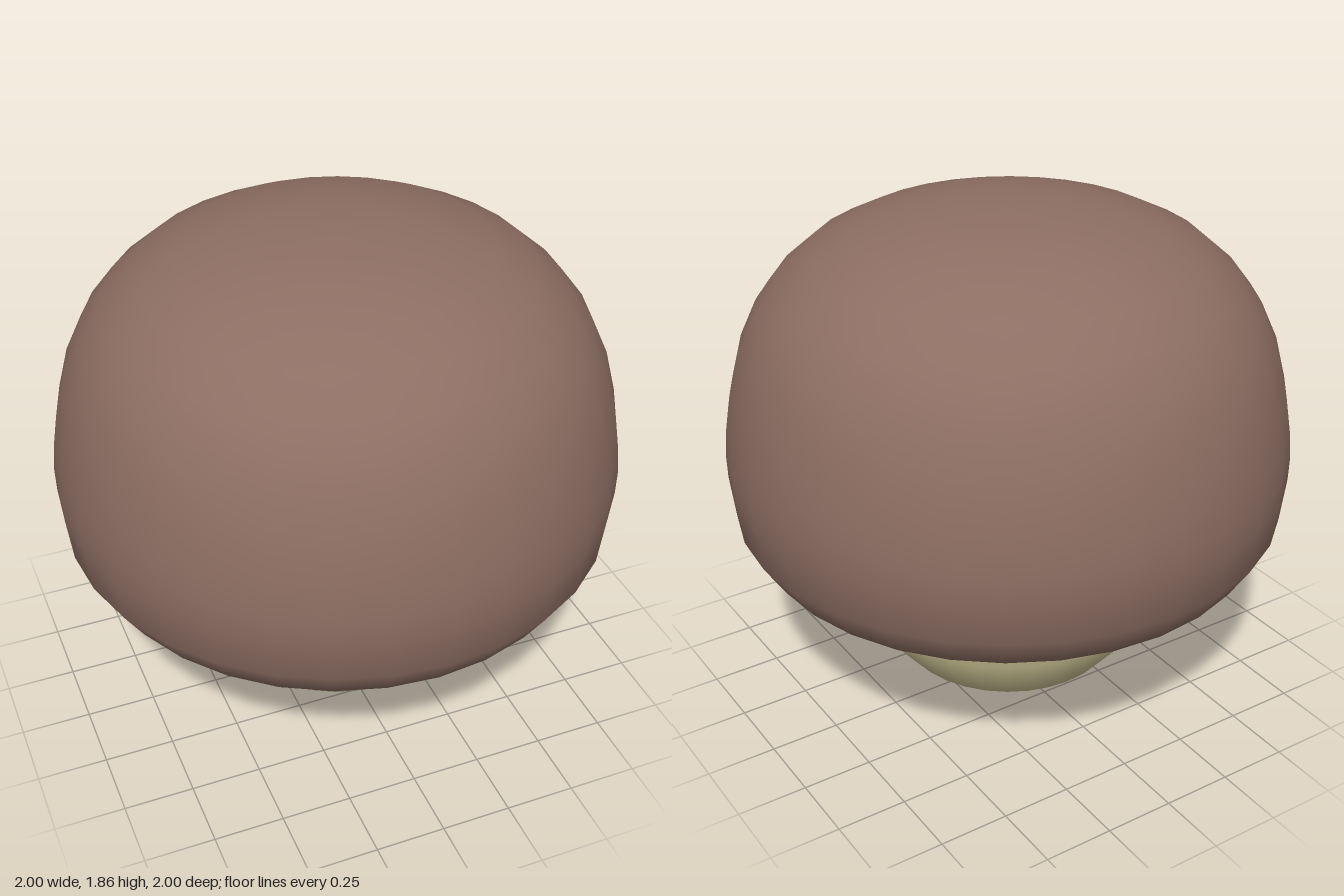
import * as THREE from 'three';

// Smooth surface of revolution from [radius, height] points, listed bottom to top
function turned(name, points, color) {
  const profile = points.map(([r, y]) => new THREE.Vector2(r, y));
  const mesh = new THREE.Mesh(
    new THREE.LatheGeometry(profile, 32),
    new THREE.MeshStandardMaterial({ color })
  );
  mesh.name = name;
  return mesh;
}

export function createModel() {
  const group = new THREE.Group();
  group.name = 'mushroom';

  // Domed cap with a rounded rim and a nearly flat underside
  group.add(turned('cap', [
    [0, 0.565], [0.4, 0.565], [0.56, 0.566], [0.73, 0.577], [0.905, 0.63],
    [0.98, 0.75], [0.998, 0.91], [1, 1], [0.99, 1.1], [0.97, 1.22],
    [0.93, 1.37], [0.87, 1.5], [0.79, 1.605], [0.68, 1.7], [0.54, 1.77],
    [0.37, 1.82], [0.2, 1.848], [0, 1.857],
  ], 0x8d6e63));

  // Bowl-shaped stem, its top tucked just inside the cap
  group.add(turned('stem', [
    [0, 0], [0.16, 0.025], [0.31, 0.08], [0.4, 0.142], [0.487, 0.246],
    [0.525, 0.335], [0.545, 0.42], [0.556, 0.5], [0.56, 0.58],
  ], 0xc8be90));

  return group;
}
